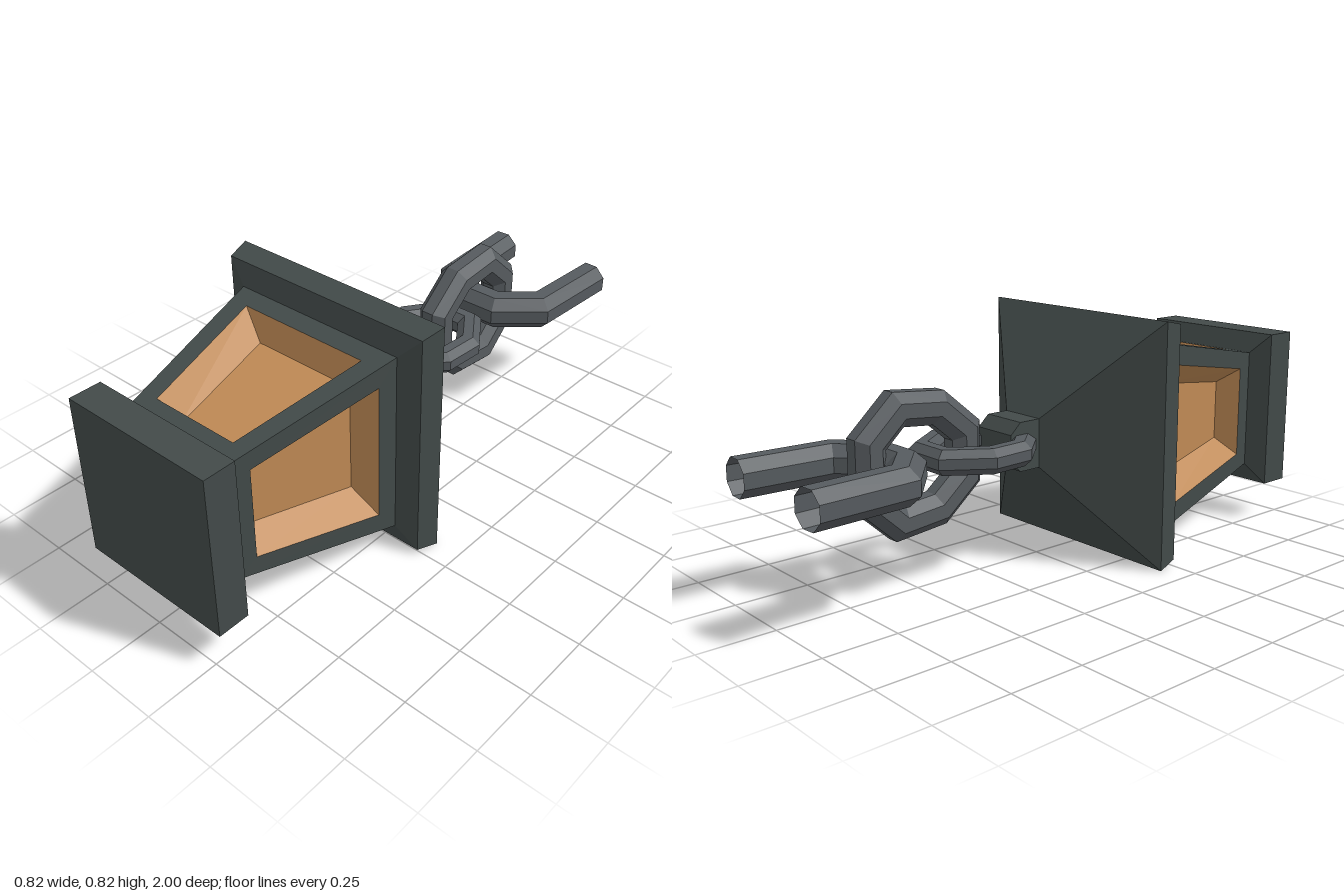
import * as THREE from 'three';

const CY = 0.413; // height of the lantern's long axis
const V = (x, y, z) => new THREE.Vector3(x, y, z);

// Mesh from separate flat quads, each with four corners in order
function quadMesh(name, quads, material) {
  const pos = [];
  for (const [a, b, c, d] of quads) for (const p of [a, b, c, a, c, d]) pos.push(p.x, p.y, p.z);
  const g = new THREE.BufferGeometry();
  g.setAttribute('position', new THREE.Float32BufferAttribute(pos, 3));
  g.computeVertexNormals();
  const m = new THREE.Mesh(g, material);
  m.name = name;
  return m;
}

// Square cross-section around the z axis
const ring = (z, h) => [V(h, h, z), V(-h, h, z), V(-h, -h, z), V(h, -h, z)];

// Skin between square sections listed from front to back
function squareLoft(name, sections, material, capFront, capBack) {
  const rings = sections.map(([z, h]) => ring(z, h));
  const quads = [];
  for (let i = 0; i + 1 < rings.length; i++) {
    for (let k = 0; k < 4; k++) {
      const n = (k + 1) % 4;
      quads.push([rings[i][k], rings[i + 1][k], rings[i + 1][n], rings[i][n]]);
    }
  }
  if (capFront) quads.push(rings[0]);
  if (capBack) quads.push([...rings[rings.length - 1]].reverse());
  return quadMesh(name, quads, material);
}

// Trapezoid on the upper side: [z, half width, height] at front and back
const trapezoid = ([zf, wf, hf], [zb, wb, hb]) =>
  [V(-wf, hf, zf), V(wf, hf, zf), V(wb, hb, zb), V(-wb, hb, zb)];

const between = (outer, inner) => outer.map((p, i) => {
  const n = (i + 1) % 4;
  return [p, outer[n], inner[n], inner[i]];
});

// Eight-sided mitred bar following a path in one plane
function chainLink(name, path, radius, closed, toWorld, material) {
  const n = path.length, sides = 8;
  const pts = path.map(([u, v]) => new THREE.Vector2(u, v));
  const rings = pts.map((p, i) => {
    const prev = closed || i > 0 ? pts[(i + n - 1) % n] : null;
    const next = closed || i < n - 1 ? pts[(i + 1) % n] : null;
    const t1 = (prev ? p.clone().sub(prev) : next.clone().sub(p)).normalize();
    const t2 = (next ? next.clone().sub(p) : p.clone().sub(prev)).normalize();
    const t = t1.clone().add(t2).normalize();
    const r = radius / Math.cos(Math.PI / sides);
    const stretch = r / t.dot(t1);
    return Array.from({ length: sides }, (_, k) => {
      const a = (k + 0.5) * 2 * Math.PI / sides;
      const s = Math.cos(a) * stretch;
      return toWorld(p.x + t.y * s, p.y - t.x * s, Math.sin(a) * r);
    });
  });
  const quads = [];
  for (let i = 0; i < (closed ? n : n - 1); i++) {
    const A = rings[i], B = rings[(i + 1) % n];
    for (let k = 0; k < sides; k++) {
      const m = (k + 1) % sides;
      const q = [A[k], A[m], B[m], B[k]];
      // turn each face away from the bar's core
      const core = V(0, 0, 0);
      for (const p of [...A, ...B]) core.addScaledVector(p, 1 / (2 * sides));
      const normal = q[1].clone().sub(q[0]).cross(q[3].clone().sub(q[0]));
      quads.push(normal.dot(q[0].clone().add(q[2]).multiplyScalar(0.5).sub(core)) < 0 ? q.reverse() : q);
    }
  }
  return quadMesh(name, quads, material);
}

// Completes half a path with its mirror image
const mirrored = (half) => [...half, ...half.map(([u, v]) => [-u, v]).reverse()];

export function createModel() {
  const iron = new THREE.MeshStandardMaterial({ color: 0x424a49 });
  const glass = new THREE.MeshStandardMaterial({ color: 0xc08a55 });
  const steel = new THREE.MeshStandardMaterial({ color: 0x565b5f, side: THREE.DoubleSide });

  const model = new THREE.Group();
  model.name = 'hangingLantern';
  const lantern = new THREE.Group();
  lantern.name = 'lantern';
  lantern.position.y = CY;
  model.add(lantern);

  // Base plate and roof
  lantern.add(squareLoft('base', [[1, 0.28], [0.89, 0.28], [0.855, 0.21]], iron, true, false));
  lantern.add(squareLoft('roof',
    [[0.285, 0.32], [0.262, 0.395], [0.182, 0.412], [-0.06, 0.082]], iron, false, true));

  // Four tapered sides with recessed windows
  const face = trapezoid([0.855, 0.21, 0.21], [0.285, 0.32, 0.32]);
  const opening = trapezoid([0.79, 0.16, 0.2225], [0.35, 0.24, 0.3075]);
  const pane = trapezoid([0.755, 0.105, 0.142], [0.375, 0.16, 0.215]);
  for (let i = 0; i < 4; i++) {
    const side = new THREE.Group();
    side.name = 'lanternSide';
    side.rotation.z = i * Math.PI / 2;
    side.add(quadMesh('windowFrame', between(face, opening), iron));
    side.add(quadMesh('window', [...between(opening, pane), pane], glass));
    lantern.add(side);
  }

  // Bevelled lug behind the roof, extruded across x
  const profile = new THREE.Shape([[0.05, -0.082], [0.14, -0.082], [0.18, -0.045],
    [0.18, 0.045], [0.14, 0.082], [0.05, 0.082]].map(([a, b]) => new THREE.Vector2(a, b)));
  const lug = new THREE.Mesh(
    new THREE.ExtrudeGeometry(profile, { depth: 0.164, bevelEnabled: false }).translate(0, 0, -0.082), iron);
  lug.name = 'lug';
  lug.rotation.y = Math.PI / 2;
  lantern.add(lug);

  // Chain: flat link, upright link, open flat link
  const chain = new THREE.Group();
  chain.name = 'chain';
  chain.position.y = CY;
  const flat = (u, v, w) => V(u, w, v);
  const upright = (u, v, w) => V(w, u, v);
  chain.add(chainLink('smallLink',
    mirrored([[0.06, -0.11], [0.135, -0.19], [0.142, -0.31], [0.06, -0.428]]), 0.041, true, flat, steel));
  chain.add(chainLink('middleLink',
    mirrored([[0.075, -0.315], [0.163, -0.42], [0.178, -0.57], [0.085, -0.672]]), 0.054, true, upright, steel));
  chain.add(chainLink('openLink',
    mirrored([[0.203, -0.997], [0.186, -0.68], [0.068, -0.578]]), 0.06, false, flat, steel));
  model.add(chain);
  return model;
}
